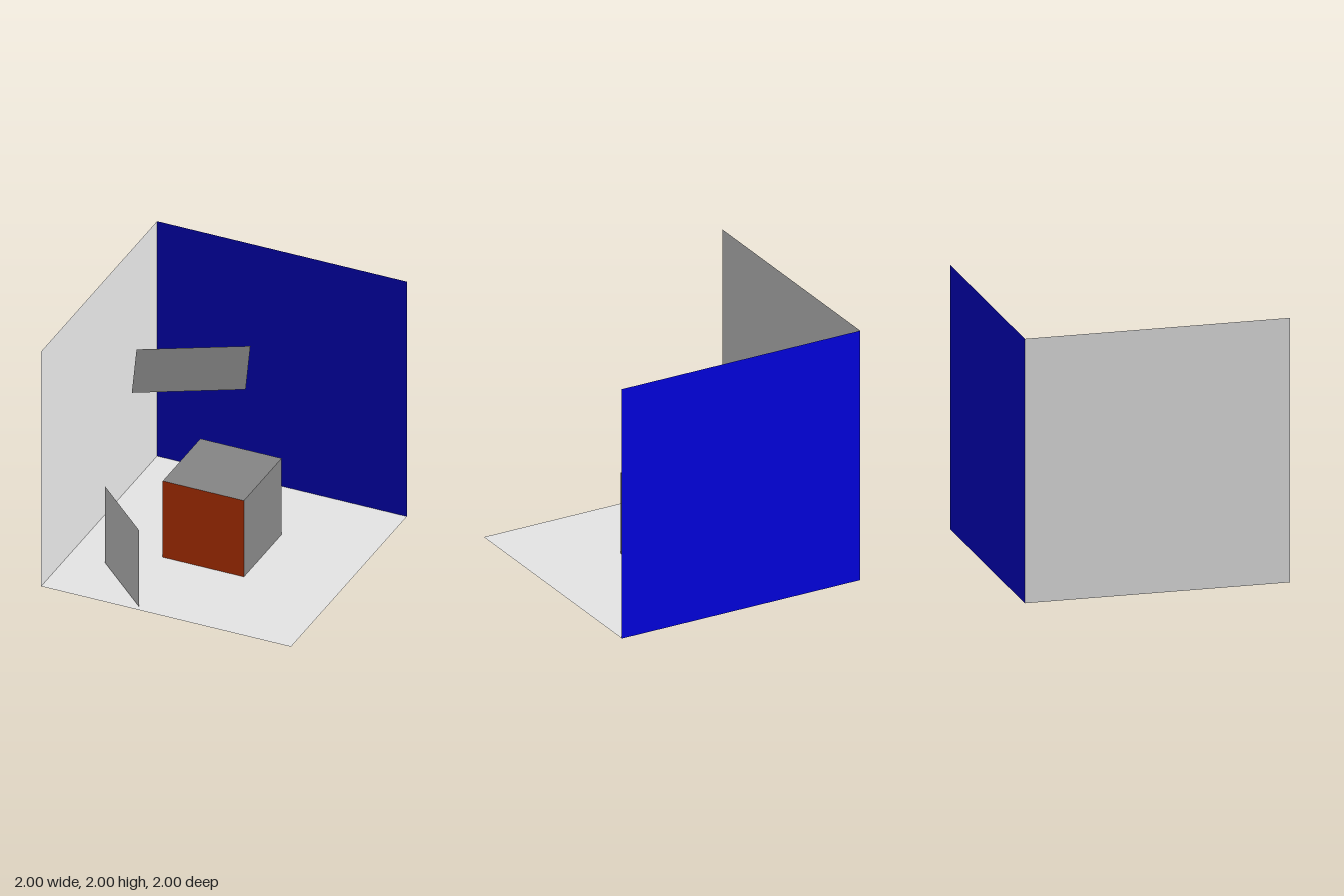
import * as THREE from 'three';

const paint = (name, color, side = THREE.FrontSide) => {
  const material = new THREE.MeshStandardMaterial({ color, side });
  material.name = name;
  return material;
};

// Flat four-sided sheet spanned from one corner by two edge vectors
function sheet(name, material, corner, edgeA, edgeB) {
  const a = new THREE.Vector3(...edgeA);
  const b = new THREE.Vector3(...edgeB);
  const geometry = new THREE.PlaneGeometry(1, 1).translate(0.5, 0.5, 0);
  geometry.applyMatrix4(new THREE.Matrix4()
    .makeBasis(a, b, a.clone().cross(b).normalize())
    .setPosition(...corner));
  const mesh = new THREE.Mesh(geometry, material);
  mesh.name = name;
  return mesh;
}

export function createModel() {
  const model = new THREE.Group();
  model.name = 'roomCorner';

  const pale = paint('paleGrey', 0xe7e7e7, THREE.DoubleSide);
  const blue = paint('blue', 0x0000e7, THREE.DoubleSide);
  const grey = paint('midGrey', 0x868686);
  const orange = paint('orange', 0xe74100);

  // Room: floor and two walls meeting in the back corner
  model.add(
    sheet('floor', pale, [-1, 0.002, 1], [2, 0, 0], [0, 0, -2]),
    sheet('backWall', blue, [-1, 0, -1], [2, 0, 0], [0, 2, 0]),
    sheet('sideWall', pale, [-1, 0, 1], [0, 0, -2], [0, 2, 0]),
  );

  // Loose panels: one tilted in the air, one upright near the front
  model.add(
    sheet('tiltedPanel', pale, [-0.97, 0.825, -0.5], [0.73, 0, -0.39], [0.235, 0.665, 0.425]),
    sheet('uprightPanel', pale, [-0.71, 0.01, 0.52], [0.48, 0, 0.45], [0, 0.65, 0]),
  );

  // Cube with an orange front face
  const cube = new THREE.Mesh(
    new THREE.BoxGeometry(0.65, 0.65, 0.65),
    [grey, grey, grey, grey, orange, grey],
  );
  cube.name = 'cube';
  cube.position.set(-0.045, 0.325, -0.065);
  model.add(cube);

  return model;
}
